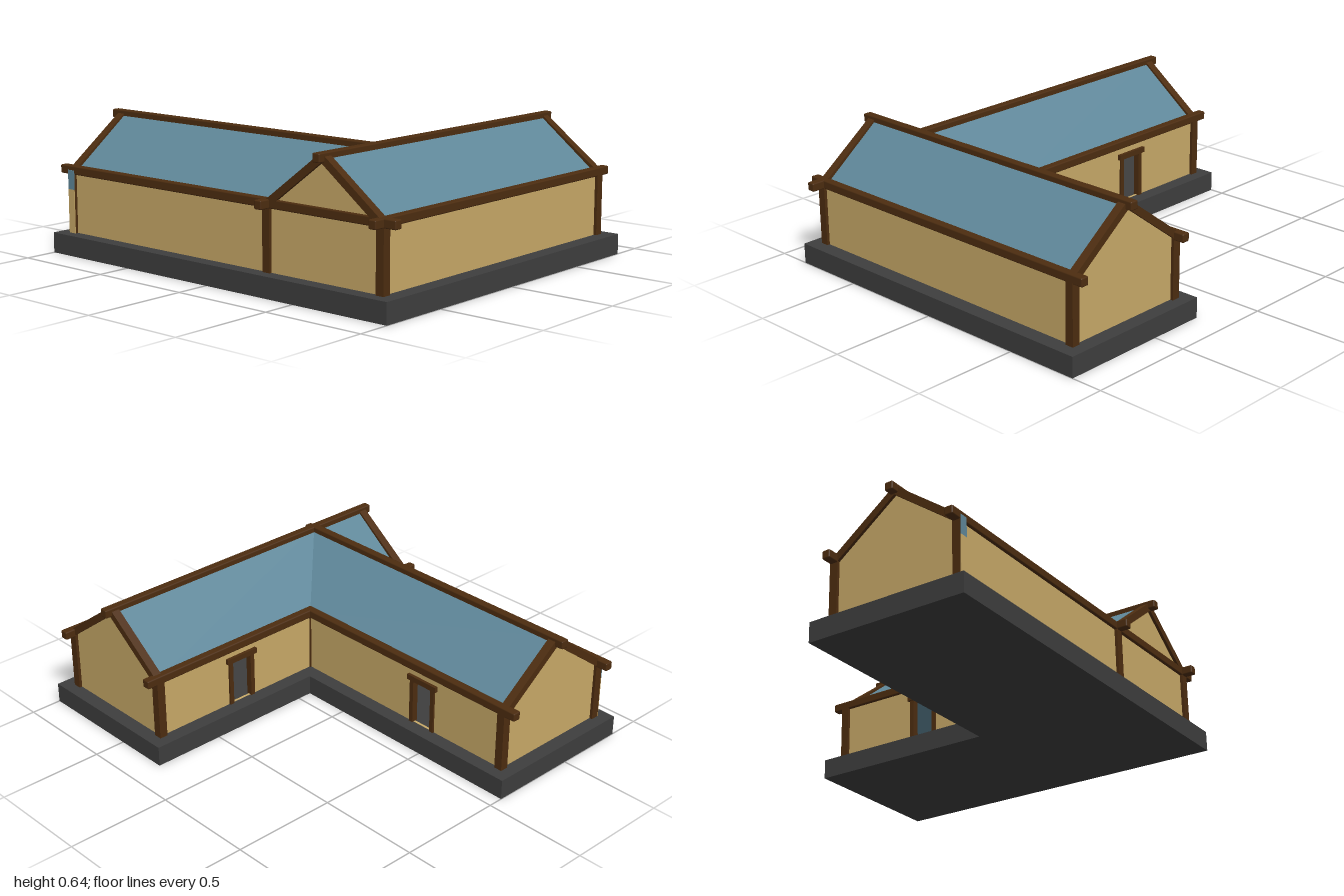
import * as THREE from 'three';
import { RoundedBoxGeometry } from 'three/addons/geometries/RoundedBoxGeometry.js';

const mat = (name, color, side = THREE.FrontSide) => {
  const m = new THREE.MeshStandardMaterial({ color, side });
  m.name = name;
  return m;
};

export function createModel() {
  const plaster = mat('ochre plaster', 0xc8a968);
  const slate = mat('blue roof', 0x5f8799, THREE.DoubleSide);
  const timber = mat('dark timber', 0x4d2d10);
  const stone = mat('dark stone', 0x3e3e3e);
  const model = new THREE.Group();
  model.name = 'lShapedHouse';

  // main grid lines of the plan
  const west = -0.925, inner = 0.305, east = 0.92, ridgeX = 0.6125;
  const front = 0.77, court = 0.145, back = -0.775, ridgeZ = 0.4575;
  const floor = 0.095, eave = 0.388, peak = 0.627, T = 0.04;

  const add = (name, geo, material) => {
    const mesh = new THREE.Mesh(geo, material);
    mesh.name = name;
    model.add(mesh);
    return mesh;
  };
  const shapeOf = pts => new THREE.Shape(pts.map(p => new THREE.Vector2(...p)));

  // L-shaped foundation
  const plan = shapeOf([[-1, -0.843], [1, -0.843], [1, 0.85], [0.23, 0.85], [0.23, -0.07], [-1, -0.07]]);
  const slab = new THREE.ExtrudeGeometry(plan, { depth: floor, bevelEnabled: false });
  slab.rotateX(-Math.PI / 2);
  add('foundation', slab, stone);

  // thin wall: outline in (along, height); axis is the direction it runs in
  const wall = (name, axis, at, pts, door) => {
    const s = shapeOf(pts);
    if (door !== undefined) {
      const [a, b] = [door - 0.055, door + 0.055];
      s.holes.push(new THREE.Path([[a, floor + 0.001], [a, 0.315], [b, 0.315], [b, floor + 0.001]]
        .map(p => new THREE.Vector2(...p))));
    }
    const g = new THREE.ExtrudeGeometry(s, { depth: 0.012, bevelEnabled: false });
    g.translate(0, 0, -0.006);
    if (axis === 'z') g.rotateY(-Math.PI / 2);
    const mesh = add(name, g, plaster);
    mesh.position[axis === 'x' ? 'z' : 'x'] = at;
  };
  const rect = (a, b) => [[a, floor], [b, floor], [b, eave], [a, eave]];
  const gable = (a, b) => [[a, floor], [b, floor], [b, eave], [(a + b) / 2, peak], [a, eave]];
  const doorX = -0.45, doorZ = -0.3;
  wall('frontWall', 'x', front, rect(west, inner));
  wall('frontGableWall', 'x', front, gable(inner, east));
  wall('backGableWall', 'x', back, gable(inner, east));
  wall('eastWall', 'z', east, rect(back, front));
  wall('westGableWall', 'z', west, gable(court, front));
  wall('courtWallLongWing', 'x', court, rect(west, inner), doorX);
  wall('courtWallSideWing', 'z', inner, rect(back, court), doorZ);

  // roof slopes: quads from an eave line to a ridge line
  const slope = (name, a, b, c, d) => {
    const g = new THREE.BufferGeometry();
    g.setAttribute('position', new THREE.Float32BufferAttribute([...a, ...b, ...c, ...d], 3));
    g.setIndex([0, 1, 2, 0, 2, 3]);
    g.computeVertexNormals();
    add(name, g, slate);
  };
  slope('longRoofFront', [west, eave, front], [inner, eave, front], [ridgeX, peak, ridgeZ], [west, peak, ridgeZ]);
  slope('longRoofBack', [inner, eave, court], [west, eave, court], [west, peak, ridgeZ], [ridgeX, peak, ridgeZ]);
  slope('sideRoofEast', [east, eave, front], [east, eave, back], [ridgeX, peak, back], [ridgeX, peak, front]);
  slope('sideRoofWest', [inner, eave, back], [inner, eave, court], [ridgeX, peak, ridgeZ], [ridgeX, peak, back]);
  slope('sideRoofPorch', [inner, eave, front], [ridgeX, peak, front], [ridgeX, peak, ridgeZ], [inner, eave, front]);

  // horizontal beams with softened ends
  const beam = (name, axis, a, b, at, y) => {
    const g = axis === 'x'
      ? new RoundedBoxGeometry(b - a, T, T, 1, 0.006)
      : new RoundedBoxGeometry(T, T, b - a, 1, 0.006);
    const m = add(name, g, timber);
    if (axis === 'x') m.position.set((a + b) / 2, y, at);
    else m.position.set(at, y, (a + b) / 2);
  };
  const beamY = 0.39, ridgeY = 0.618;
  beam('frontEaveBeam', 'x', -1, 1, front, beamY);
  beam('courtEaveBeamLong', 'x', -1, inner + 0.01, court, beamY);
  beam('courtEaveBeamSide', 'z', -0.845, court + 0.02, inner, beamY);
  beam('eastEaveBeam', 'z', -0.845, 0.84, east, beamY);
  beam('porchBeamEnd', 'z', front - 0.02, 0.84, inner, beamY);
  beam('longRidgeBeam', 'x', -0.985, ridgeX, ridgeZ, ridgeY);
  beam('sideRidgeBeam', 'z', -0.828, 0.823, ridgeX, ridgeY);

  // corner posts
  for (const [x, z] of [[west, front], [west, court], [inner, front], [inner, court],
    [inner, back], [east, back], [east, front]]) {
    const size = x === inner && z === court ? 0.025 : T;
    add('cornerPost', new THREE.BoxGeometry(size, beamY - floor, size), timber)
      .position.set(x, (beamY + floor) / 2, z);
  }
  // two-tone facing on the front west post
  for (const [y0, y1, m] of [[floor, 0.3, plaster], [0.3, 0.39, slate]]) {
    add('postFacing', new THREE.BoxGeometry(T, y1 - y0, 0.004), m)
      .position.set(west, (y0 + y1) / 2, front + T / 2 + 0.001);
  }

  // sloping gable rafters, a mirrored pair for each gable
  const rise = 0.23, run = 0.3075, angle = Math.atan2(rise, run), len = Math.hypot(rise, run);
  const rafters = (x, z, turn) => {
    const pair = new THREE.Group();
    pair.name = 'gableRafters';
    for (const s of [-1, 1]) {
      const m = new THREE.Mesh(new THREE.BoxGeometry(len, 0.034, T), timber);
      m.name = 'rafter';
      m.position.set(s * run / 2, 0.386 + rise / 2, 0);
      m.rotation.z = -s * angle;
      pair.add(m);
    }
    pair.position.set(x, 0, z);
    pair.rotation.y = turn;
    model.add(pair);
  };
  rafters(ridgeX, front, 0);
  rafters(ridgeX, back, 0);
  rafters(west, ridgeZ, Math.PI / 2);

  // open doorways framed with jambs and a lintel
  const doorFrame = (x, z, turn) => {
    const frame = new THREE.Group();
    frame.name = 'doorFrame';
    const part = (name, w, h, d, px, py) => {
      const m = new THREE.Mesh(new THREE.BoxGeometry(w, h, d), timber);
      m.name = name;
      m.position.set(px, py, 0);
      frame.add(m);
    };
    for (const s of [-1, 1]) part('jamb', 0.022, 0.22, 0.03, s * 0.064, floor + 0.11);
    part('lintel', 0.175, 0.026, 0.042, 0, 0.327);
    frame.position.set(x, 0, z);
    frame.rotation.y = turn;
    model.add(frame);
  };
  doorFrame(doorX, court, 0);
  doorFrame(inner, doorZ, Math.PI / 2);

  return model;
}
